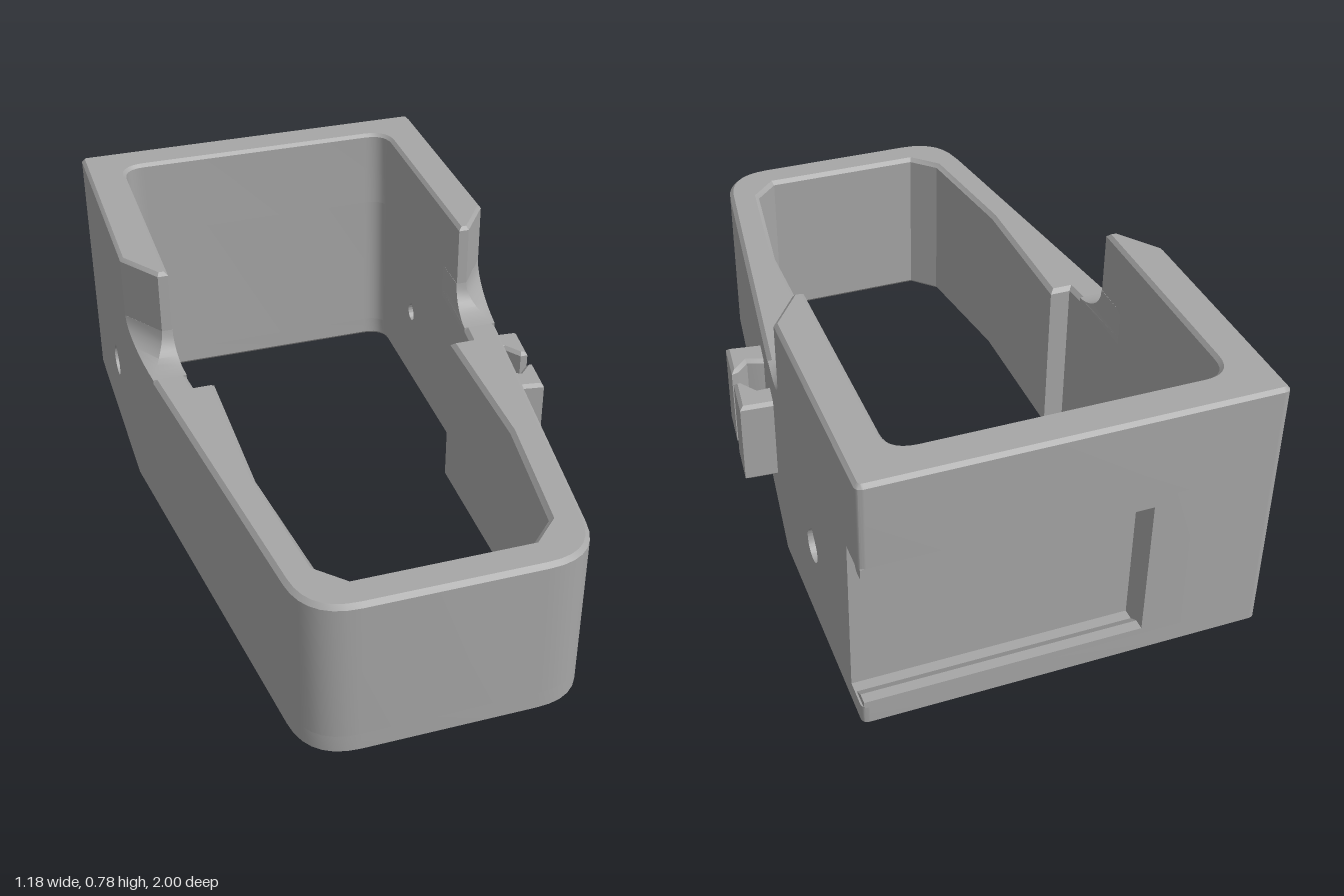
import * as THREE from 'three';
import { toCreasedNormals } from 'three/addons/utils/BufferGeometryUtils.js';

const CX = -0.038; // centre line of the frame in x

// Mirror an outline across the centre line, keeping its winding
const mirror = (pts) => pts.map(([x, ...rest]) => [-x, ...rest]).reverse();

// Replace corners given as [x, z, radius] with short arcs
function rounded(pts) {
  const out = [];
  pts.forEach(([x, z, r], i) => {
    if (!r) return out.push(new THREE.Vector2(x, z));
    const p = new THREE.Vector2(x, z);
    const toward = (q) => new THREE.Vector2(q[0], q[1]).sub(p).setLength(r).add(p);
    const a = toward(pts[(i + pts.length - 1) % pts.length]);
    const b = toward(pts[(i + 1) % pts.length]);
    out.push(...new THREE.QuadraticBezierCurve(a, p, b).getPoints(7));
  });
  return out;
}

// Move an outline towards its solid side by d
function inset(ring, d) {
  const n = ring.length;
  return ring.map((p, i) => {
    const e1 = p.clone().sub(ring[(i + n - 1) % n]).normalize();
    const e2 = ring[(i + 1) % n].clone().sub(p).normalize();
    const n1 = new THREE.Vector2(-e1.y, e1.x);
    const n2 = new THREE.Vector2(-e2.y, e2.x);
    return n1.clone().add(n2).multiplyScalar(d / (1 + n1.dot(n2))).add(p);
  });
}

// Solid through stacked levels { y, rings }, first ring outer, others holes
function loft(levels) {
  const pos = [];
  const put = (y, ...ps) => ps.forEach((p) => pos.push(p.x, y, p.y));
  for (let k = 0; k + 1 < levels.length; k++) {
    const lo = levels[k], hi = levels[k + 1];
    lo.rings.forEach((ring, r) => ring.forEach((a0, i) => {
      const j = (i + 1) % ring.length;
      const b0 = ring[j], a1 = hi.rings[r][i], b1 = hi.rings[r][j];
      put(lo.y, a0); put(hi.y, a1, b1);
      put(lo.y, a0); put(hi.y, b1); put(lo.y, b0);
    }));
  }
  [levels[0], levels[levels.length - 1]].forEach(({ y, rings }, top) => {
    const all = rings.flat();
    THREE.ShapeUtils.triangulateShape(rings[0], rings.slice(1)).forEach(([a, b, c]) => {
      if (top) put(y, all[a], all[c], all[b]);
      else put(y, all[a], all[b], all[c]);
    });
  });
  const geo = new THREE.BufferGeometry();
  geo.setAttribute('position', new THREE.Float32BufferAttribute(pos, 3));
  return toCreasedNormals(geo, 0.5);
}

// Upright wall with optional bevels at the bottom and top
function wall(rings, y0, y1, b0 = 0, b1 = 0) {
  const at = (y, d) => ({ y, rings: d ? rings.map((r) => inset(r, d)) : rings });
  const levels = [at(y0 + b0, 0), at(y1 - b1, 0)];
  if (b0) levels.unshift(at(y0, b0));
  if (b1) levels.push(at(y1, b1));
  return loft(levels);
}

// Plate drawn in (z, y), running from x towards -x
function slab(pts, x, depth, holeRadius) {
  const shape = new THREE.Shape(pts.map((p) => new THREE.Vector2(...p)));
  if (holeRadius) { // teardrop hole
    const hole = new THREE.Path();
    hole.absarc(-0.59, 0.255, holeRadius, Math.PI * 0.75, Math.PI * 2.25, false);
    hole.lineTo(-0.59, 0.255 + holeRadius * Math.SQRT2);
    hole.closePath();
    shape.holes.push(hole);
  }
  const geo = new THREE.ExtrudeGeometry(shape, { depth, bevelEnabled: false, curveSegments: 20 });
  geo.rotateY(-Math.PI / 2).translate(x, 0, 0);
  return toCreasedNormals(geo, 0.5);
}

export function createModel() {
  const model = new THREE.Group();
  const body = new THREE.Group();
  body.name = 'frame';
  body.position.x = CX;
  model.add(body);
  const grey = new THREE.MeshStandardMaterial({ color: 0xa6a6a6 });
  grey.name = 'grey';
  const add = (name, geo, parent = body) => {
    const mesh = new THREE.Mesh(geo, grey);
    mesh.name = name;
    parent.add(mesh);
  };

  const outerHalf = [[0.555, -1, 0.02], [0.555, -0.31], [0.38, 1, 0.14]];
  const innerFront = [[0.44, -0.2], [0.42, -0.02], [0.36, -0.02], [0.36, 0.45], [0.31, 0.83], [0.24, 0.9]];
  const innerHalf = [[0.44, -0.89, 0.07], ...innerFront];

  // Bottom rim all the way round
  const outer = rounded([...outerHalf, ...mirror(outerHalf)]);
  const inner = rounded([...innerHalf, ...mirror(innerHalf)]).reverse();
  add('bottomRim', wall([outer, inner], 0, 0.065, 0.012));

  // Low tapered front
  const frontHalf = [[0.555, -0.36], [0.555, -0.31], [0.38, 1, 0.14]];
  const innerPath = [[0.44, -0.36], ...innerFront].reverse();
  add('frontWall', wall([rounded([
    ...frontHalf, ...mirror(frontHalf), ...mirror(innerPath), ...innerPath,
  ])], 0.065, 0.5, 0, 0.012));

  // Back wall, cut away for the slot that opens to the left side
  add('backWall', wall([rounded([
    [-0.44, -0.75], [-0.555, -0.75], [-0.555, -1, 0.02], [-0.21, -1], [-0.21, -0.91], [0.555, -0.91],
    [0.555, -0.75], [0.44, -0.75], [0.44, -0.89, 0.07], [-0.44, -0.89, 0.07],
  ])], 0.065, 0.53));
  add('slotLowerLip', slab([[-1, 0.065], [-0.94, 0.065], [-0.97, 0.085], [-1, 0.085]], 0.55, 0.76));
  add('slotUpperLip', slab([[-1, 0.5], [-0.97, 0.5], [-0.94, 0.53], [-1, 0.53]], 0.55, 0.76));

  // Side panels with a counterbored teardrop hole
  const panel = [[-0.75, 0.065], [-0.31, 0.065], [-0.31, 0.53], [-0.75, 0.53]];
  add('leftPanelOuter', slab(panel, 0.555, 0.06, 0.045));
  add('leftPanelInner', slab(panel, 0.495, 0.055, 0.026));
  add('rightPanelInner', slab(panel, -0.44, 0.055, 0.026));
  add('rightPanelOuter', slab(panel, -0.495, 0.06, 0.045));

  // Tall back section with slanted ends
  const tallOuter = [[0.555, -1, 0.02], [0.555, -0.31], [0.47, -0.19], [0.44, -0.19]];
  add('tallWall', wall([rounded([
    ...tallOuter, [0.44, -0.89, 0.07], [-0.44, -0.89, 0.07], ...mirror(tallOuter),
  ])], 0.53, 0.78, 0, 0.01));

  // Curved shoulders from the tall section down to the low front
  const taper = (z) => 0.555 - 0.1336 * (z + 0.31);
  const section = (f) => {
    const zOut = -0.309 + 0.229 * f, zIn = -0.19 + 0.11 * f;
    return [
      [0.555, -0.31], [taper(zOut), zOut],
      [0.47 + (taper(zIn) - 0.47) * f, zIn],
      [0.44 - 0.02 * Math.max(0, (zIn + 0.2) / 0.18), zIn], [0.44, -0.31],
    ];
  };
  for (const [name, flip] of [['leftShoulder', (p) => p], ['rightShoulder', mirror]]) {
    const levels = [{ y: 0.48, rings: [rounded(flip(section(0.998)))] }];
    for (let i = 0; i <= 8; i++) {
      const k = (i / 8) ** 2;
      const f = 0.998 * (1 - Math.sqrt(1 - (1 - k) ** 2));
      levels.push({ y: 0.5 + 0.09 * k, rings: [rounded(flip(section(f)))] });
    }
    add(name, loft(levels));
  }

  // Pair of hooked clips on the left side
  const clips = new THREE.Group();
  clips.name = 'clips';
  model.add(clips);
  add('rearClip', wall([rounded([
    [0.45, -0.16], [0.59, -0.15], [0.577, -0.025], [0.555, -0.025],
    [0.52, -0.075], [0.49, -0.075], [0.45, -0.03],
  ])], 0.15, 0.41, 0.01, 0.01), clips);
  add('frontClip', wall([rounded([
    [0.42, 0.04], [0.475, 0.05], [0.515, 0.065], [0.55, 0.03],
    [0.57, 0.025], [0.557, 0.15], [0.42, 0.13],
  ])], 0.15, 0.41, 0.01, 0.01), clips);

  return model;
}
